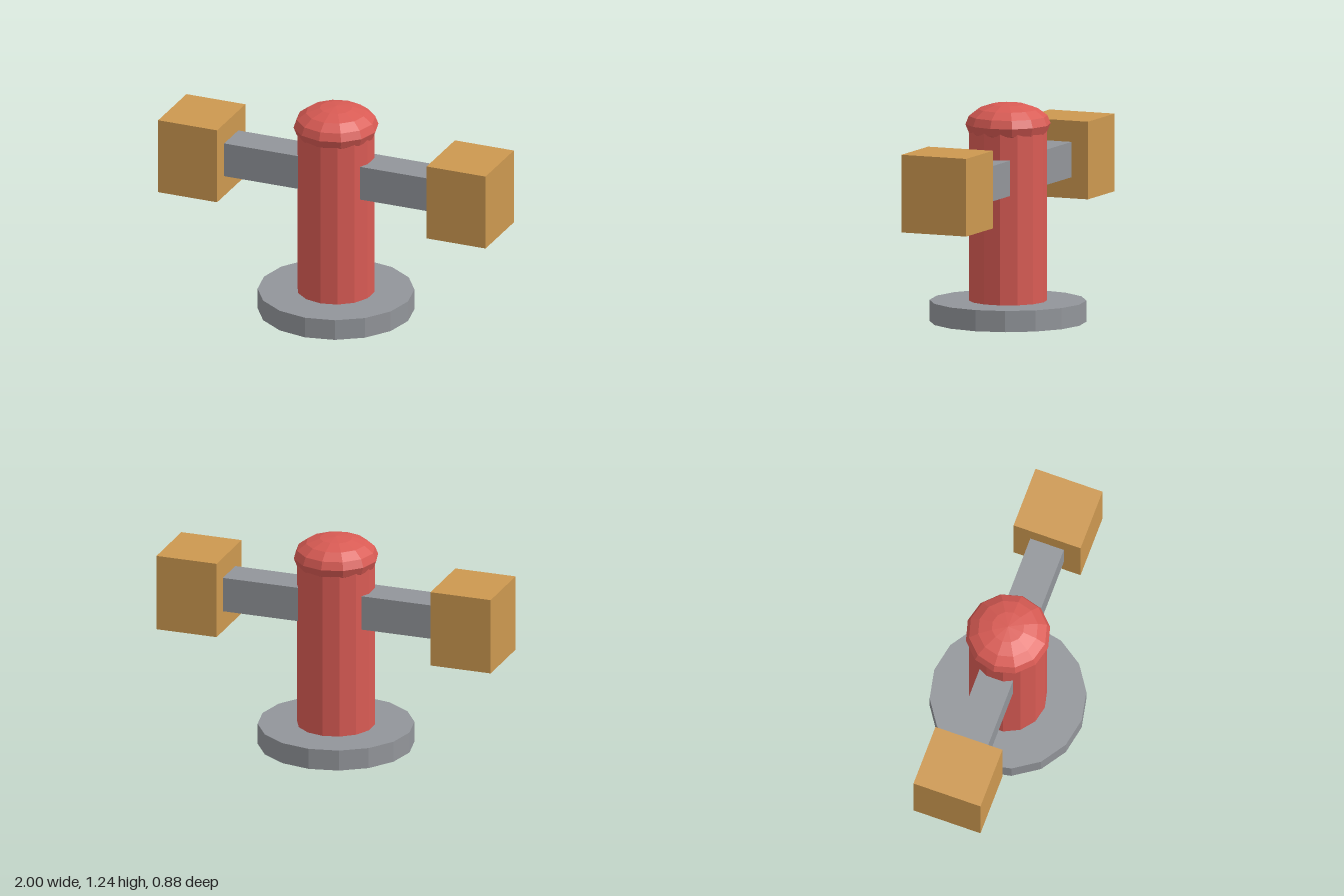
import * as THREE from 'three';

export function createModel() {
  const model = new THREE.Group();
  model.name = 'hydrant';

  const red = new THREE.MeshStandardMaterial({ color: 0xd95b54, flatShading: true });
  red.name = 'red paint';
  const grey = new THREE.MeshStandardMaterial({ color: 0x92959a, flatShading: true });
  grey.name = 'grey metal';
  const ochre = new THREE.MeshStandardMaterial({ color: 0xcc9850, flatShading: true });
  ochre.name = 'ochre';

  const add = (name, geometry, material, x, y) => {
    const mesh = new THREE.Mesh(geometry, material);
    mesh.name = name;
    mesh.position.set(x, y, 0);
    model.add(mesh);
    return mesh;
  };

  // Base disc and post
  add('base', new THREE.CylinderGeometry(0.44, 0.44, 0.12, 16), grey, 0, 0.06);
  add('post', new THREE.CylinderGeometry(0.22, 0.22, 1.0, 14), red, 0, 0.62);

  // Squashed dome cap
  add('cap', new THREE.SphereGeometry(0.24, 12, 8).scale(1, 0.5, 1), red, 0, 1.12);

  // Side arms ending in blocks
  for (const [side, s] of [['left', 1], ['right', -1]]) {
    add(side + 'Arm', new THREE.BoxGeometry(0.5, 0.2, 0.2), grey, s * 0.4, 0.84);
    add(side + 'Block', new THREE.BoxGeometry(0.36, 0.44, 0.4), ochre, s * 0.82, 0.84);
  }

  return model;
}
